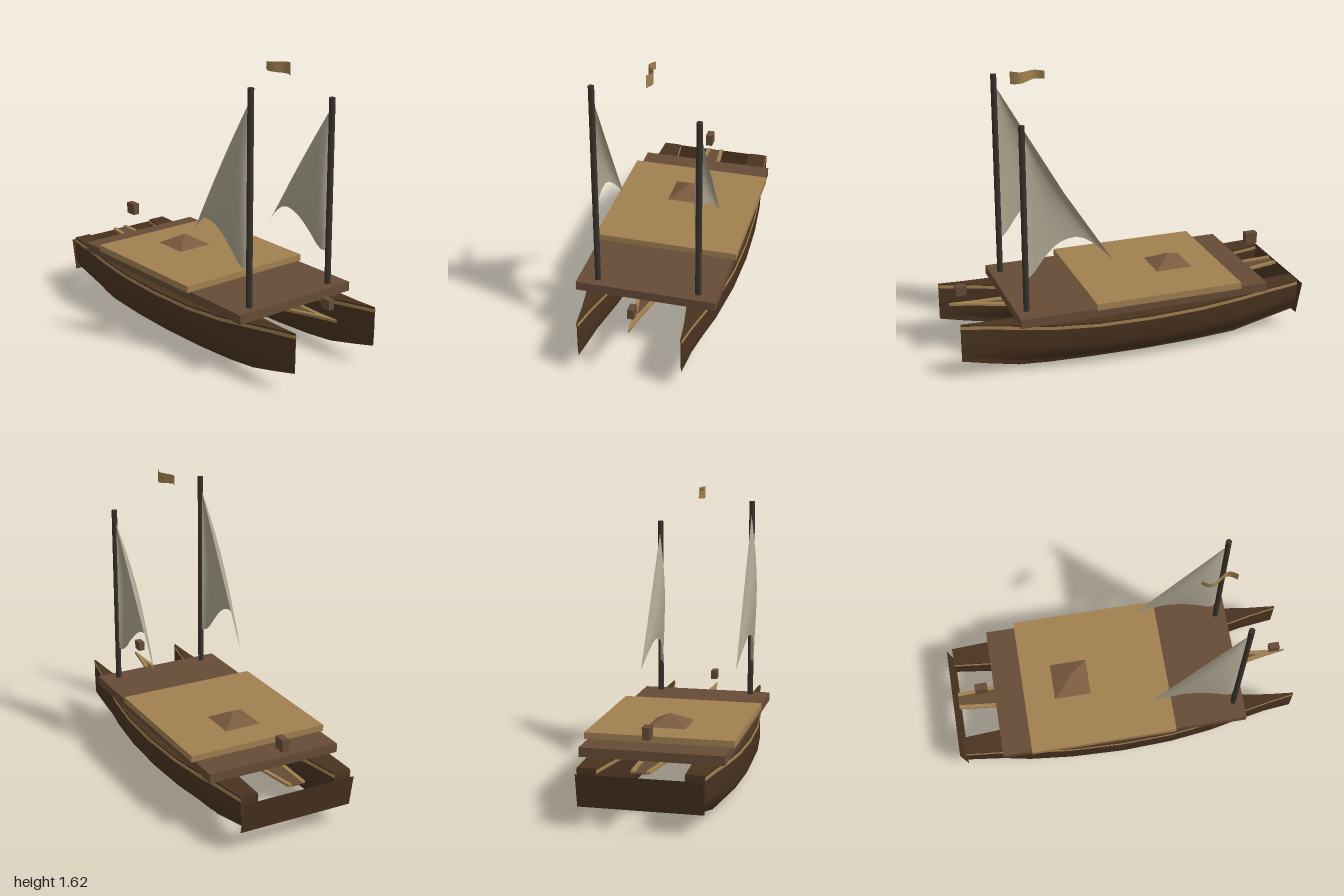
import * as THREE from 'three';
import { toCreasedNormals } from 'three/addons/utils/BufferGeometryUtils.js';

const mat = (color, side = THREE.FrontSide) => new THREE.MeshStandardMaterial({ color, side });
const HULL = mat(0x4a3320), DECK = mat(0x664c36), TAN = mat(0xa08050), MAST = mat(0x38322b);
const ROOF = mat(0x7c5c40), SAIL = mat(0xaaa28e, THREE.DoubleSide);
const FLAG = mat(0xa08050, THREE.DoubleSide), PANEL = mat(0x4a3320, THREE.DoubleSide);

// Hull stations: x, half width, keel height, sheer height
const STATIONS = [
  [-0.965, 0.05, 0.11, 0.315], [-0.75, 0.067, 0.06, 0.3], [-0.6, 0.09, 0.022, 0.293],
  [-0.35, 0.112, 0.006, 0.28], [-0.05, 0.122, 0, 0.275], [0.25, 0.112, 0.005, 0.275],
  [0.5, 0.085, 0.016, 0.285], [0.68, 0.052, 0.033, 0.3], [0.85, 0.022, 0.072, 0.316],
  [1.0, 0.003, 0.11, 0.33],
];
// Cross-section as fractions of half width and height, with a shallow double keel
const SECTION = [[1, 1], [1, 0.4], [0.8, 0.22], [0.18, 0], [0, 0.17], [-0.25, 0.14], [-0.8, 0.34], [-1, 0.52], [-1, 1]];

function add(group, name, geometry, material, x = 0, y = 0, z = 0) {
  const mesh = new THREE.Mesh(geometry, material);
  mesh.name = name;
  mesh.position.set(x, y, z);
  group.add(mesh);
  return mesh;
}

function box(group, name, material, x0, x1, y0, y1, z0, z1) {
  return add(group, name, new THREE.BoxGeometry(x1 - x0, y1 - y0, z1 - z0), material,
    (x0 + x1) / 2, (y0 + y1) / 2, (z0 + z1) / 2);
}

// Closed loft along x; ring(station) returns [z, y] points from +z top, down and round
function loft(ring) {
  const pos = [], index = [], n = ring(STATIONS[0]).length, last = STATIONS.length - 1;
  STATIONS.forEach((s, i) => {
    ring(s).forEach(([z, y]) => pos.push(s[0], y, z));
    if (i === last) return;
    for (let j = 0; j < n; j++) {
      const a = i * n + j, b = i * n + (j + 1) % n;
      index.push(a, b, a + n, b, b + n, a + n);
    }
  });
  for (let j = 1; j < n - 1; j++) {
    index.push(0, j + 1, j);
    index.push(last * n, last * n + j, last * n + j + 1);
  }
  const g = new THREE.BufferGeometry();
  g.setAttribute('position', new THREE.Float32BufferAttribute(pos, 3));
  g.setIndex(index);
  return toCreasedNormals(g, 0.8);
}

// Pair of rails that follow the hull outline
function rails(group, name, z, inset, out, low, high) {
  for (const side of [1, -1]) {
    add(group, name, loft(([, w, , s]) => {
      const a = side * (w + out), b = side * Math.max(w - inset, 0);
      const hi = Math.max(a, b), lo = Math.min(a, b);
      return [[hi, s + high], [hi, s + low], [lo, s + low], [lo, s + high]];
    }), TAN, 0, 0, z);
  }
}

// Triangular sail with a hollow foot, bellied towards +z
function sailGeometry() {
  const foot = new THREE.CatmullRomCurve3([[0.14, 0.61], [0.22, 0.705], [0.32, 0.775], [0.42, 0.757],
    [0.5, 0.69], [0.595, 0.572], [0.62, 0.567]].map(([x, y]) => new THREE.Vector3(x, y, 0)));
  const g = new THREE.PlaneGeometry(1, 1, 14, 12), p = g.attributes.position;
  const top = new THREE.Vector3(0.62, 1.45, 0);
  for (let i = 0; i < p.count; i++) {
    const u = p.getX(i) + 0.5, v = p.getY(i) + 0.5;
    const q = foot.getPoint(u).lerp(top, v);
    p.setXYZ(i, q.x, q.y, 0.055 * Math.sin(Math.PI * u) * Math.sin(Math.PI * (0.3 + 0.7 * v)));
  }
  g.computeVertexNormals();
  return g;
}

export function createModel() {
  const boat = new THREE.Group();
  boat.name = 'catamaran';

  // Twin hulls with gunwales, masts and sails
  const hullGeo = loft(([, w, b, s]) => SECTION.map(([z, y]) => [z * w, b + y * (s - b)]));
  const sailGeo = sailGeometry();
  const base = 0.355;
  for (const [z, height] of [[0.28, 1.175], [-0.28, 1.045]]) {
    add(boat, 'hull', hullGeo, HULL, 0, 0, z);
    rails(boat, 'gunwale', z, 0.004, 0.003, -0.027, -0.01);
    add(boat, 'mast', new THREE.CylinderGeometry(0.017, 0.017, height, 8), MAST, 0.635, base + height / 2, z);
    const k = height / 1.175;
    add(boat, 'sail', sailGeo, SAIL, 0, base * (1 - k), z).scale.y = k;
  }

  // Central frame between the hulls
  rails(boat, 'centreRail', 0, 0.022, 0, -0.012, 0.002);
  add(boat, 'centreFloor', loft(([, w, , s]) => {
    const h = w * 0.68;
    return [[h, s - 0.008], [h, s - 0.014], [-h, s - 0.014], [-h, s - 0.008]];
  }), DECK);

  // Sloping stern panel
  const panel = add(boat, 'sternPanel', new THREE.PlaneGeometry(0.66, Math.hypot(0.033, 0.18)), PANEL, -0.9835, 0.2, 0);
  panel.rotation.set(0, -Math.PI / 2, 0);
  panel.rotateX(-Math.atan2(-0.033, 0.18));

  // Deck, raised cabin roof and pyramid skylight
  box(boat, 'deck', DECK, -0.747, 0.695, 0.305, 0.356, -0.388, 0.388);
  box(boat, 'cabinRoof', TAN, -0.577, 0.273, 0.354, 0.391, -0.408, 0.408);
  const pyramid = new THREE.ConeGeometry(0.108 * Math.SQRT2, 0.06, 4, 1).rotateY(Math.PI / 4).toNonIndexed();
  pyramid.computeVertexNormals();
  add(boat, 'skylight', pyramid, ROOF, -0.293, 0.42, 0);
  for (const z of [-0.2, 0.2]) box(boat, 'deckSupport', TAN, -0.56, -0.53, 0.27, 0.306, z - 0.016, z + 0.016);

  // Stern and bow lanterns
  box(boat, 'sternLantern', DECK, -0.85, -0.78, 0.443, 0.51, -0.02, 0.02);
  box(boat, 'bowLantern', DECK, 0.902, 0.962, 0.375, 0.43, -0.018, 0.018);

  // Waving pennant, narrower at its free end
  const flag = new THREE.PlaneGeometry(0.19, 1, 14, 1), p = flag.attributes.position;
  for (let i = 0; i < p.count; i++) {
    const t = p.getX(i) / 0.19 + 0.5;
    p.setY(i, p.getY(i) * (0.042 + 0.028 * t));
    p.setZ(i, 0.025 * Math.sin(t * Math.PI * 2));
  }
  flag.computeVertexNormals();
  add(boat, 'pennant', flag, FLAG, 0.52, 1.58, 0);

  return boat;
}
